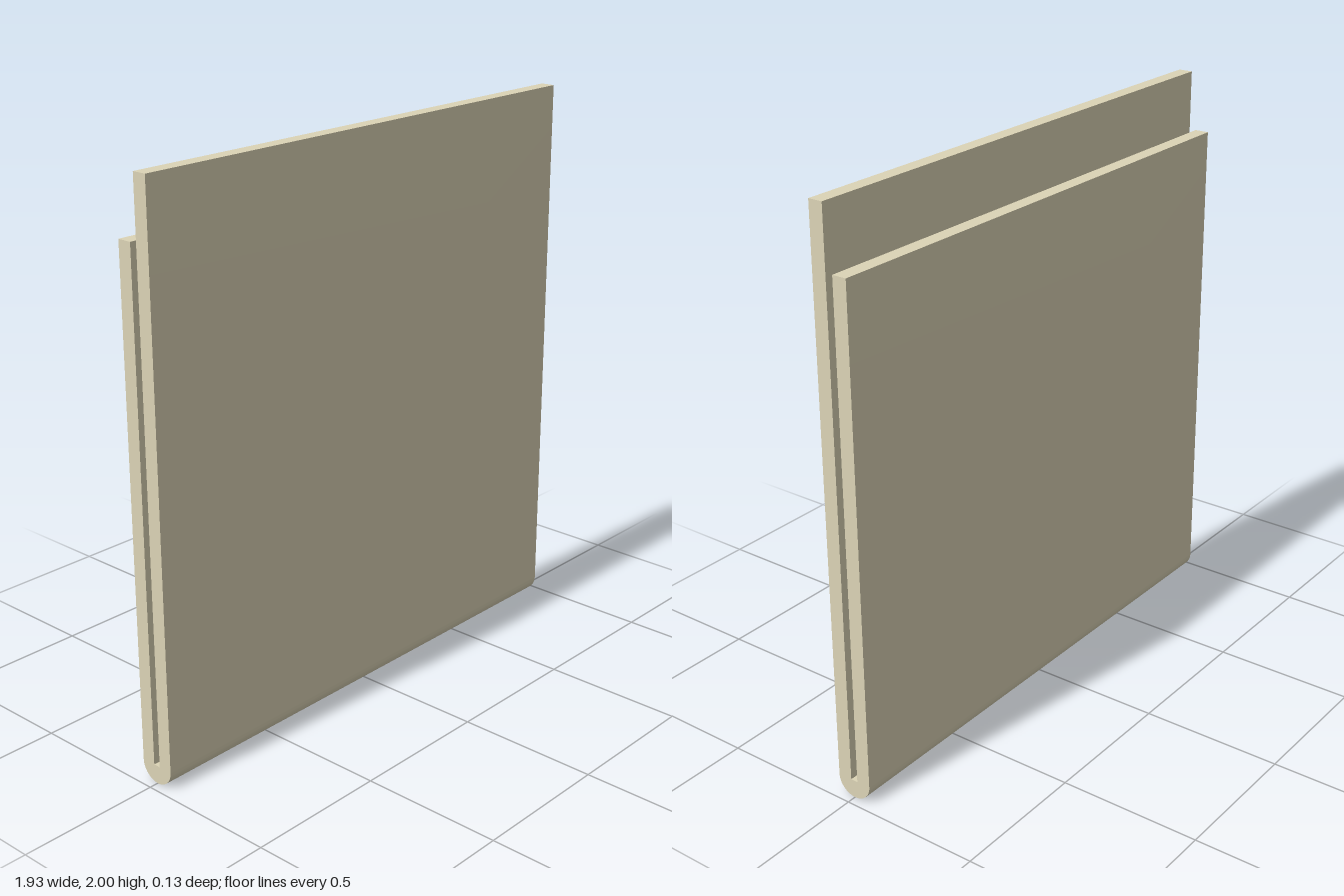
import * as THREE from 'three';
import { toCreasedNormals } from 'three/addons/utils/BufferGeometryUtils.js';

const WIDTH = 1.935;        // length along x
const OUTER = 0.064;        // half depth and fold radius
const SLOT = 0.013;         // half width of the gap between the panels
const FRONT_TOP = 2;
const BACK_TOP = 1.79;

export function createModel() {
  const group = new THREE.Group();
  group.name = 'foldedPanel';

  // Side profile (shape x becomes world z): two panels joined by a round fold
  const profile = new THREE.Shape();
  profile.moveTo(OUTER, OUTER);
  profile.lineTo(OUTER, FRONT_TOP);
  profile.lineTo(SLOT, FRONT_TOP);
  profile.lineTo(SLOT, OUTER);
  profile.lineTo(-SLOT, OUTER);
  profile.lineTo(-SLOT, BACK_TOP);
  profile.lineTo(-OUTER, BACK_TOP);
  profile.lineTo(-OUTER, OUTER);
  profile.absarc(0, OUTER, OUTER, Math.PI, Math.PI * 2, false);

  // Extrude across the width, smooth only around the fold
  const extruded = new THREE.ExtrudeGeometry(profile, {
    depth: WIDTH, bevelEnabled: false, curveSegments: 24,
  });
  extruded.translate(0, 0, -WIDTH / 2);
  extruded.rotateY(-Math.PI / 2);

  const sheet = new THREE.Mesh(
    toCreasedNormals(extruded, Math.PI / 6),
    new THREE.MeshStandardMaterial({ color: 0xdcd4b6 }),
  );
  sheet.name = 'foldedSheet';
  group.add(sheet);
  return group;
}
